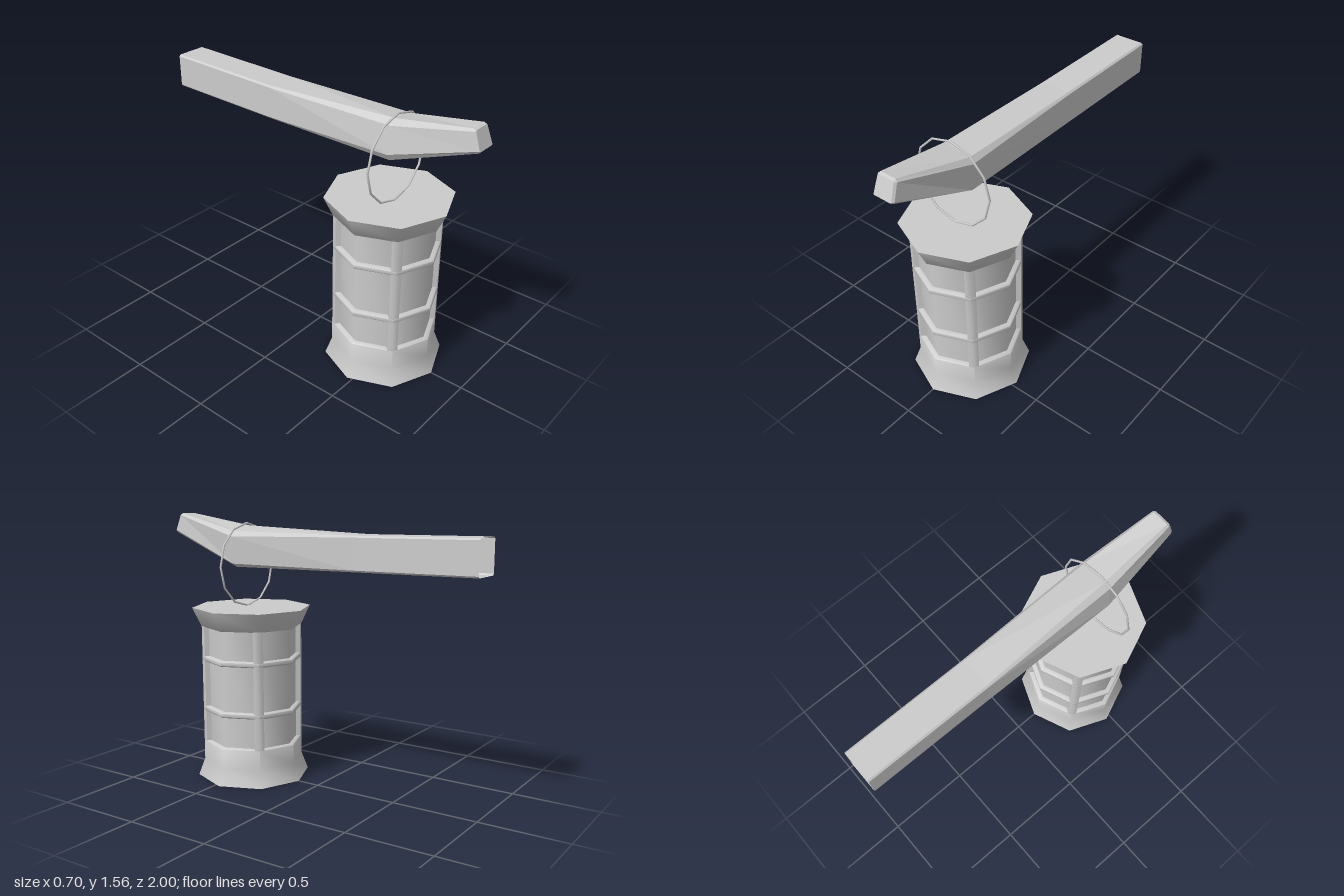
import * as THREE from 'three';
import { toCreasedNormals } from 'three/addons/utils/BufferGeometryUtils.js';

const LANTERN_Z = 0.47;

export function createModel() {
  const model = new THREE.Group();
  const smooth = new THREE.MeshStandardMaterial({ color: 0xcccccc });
  const flat = new THREE.MeshStandardMaterial({ color: 0xcccccc, flatShading: true, side: THREE.DoubleSide });

  const add = (parent, name, geometry, material = smooth) => {
    const mesh = new THREE.Mesh(geometry, material);
    mesh.name = name;
    parent.add(mesh);
    return mesh;
  };

  // Eight-sided turned part, smooth around the corners, sharp at the rims
  const octagon = (points) => toCreasedNormals(
    new THREE.LatheGeometry(points.map(([r, y]) => new THREE.Vector2(r, y)), 8), 0.87);

  const lantern = new THREE.Group();
  lantern.name = 'lantern';
  lantern.position.z = LANTERN_Z;
  model.add(lantern);

  add(lantern, 'base', octagon([[0, 0], [0.335, 0], [0.297, 0.1], [0.297, 0.215], [0.292, 0.22], [0.25, 0.22]]));
  add(lantern, 'glass', octagon([[0.268, 0.21], [0.268, 0.92]]));
  add(lantern, 'cap', octagon([[0.25, 0.908], [0.292, 0.908], [0.299, 0.913], [0.35, 1.02], [0, 1.02]]));

  // Horizontal rails
  for (const y of [0.418, 0.72]) {
    add(lantern, 'rail', octagon([
      [0.26, y - 0.016], [0.29, y - 0.016], [0.297, y - 0.01],
      [0.297, y + 0.01], [0.29, y + 0.016], [0.26, y + 0.016]]));
  }

  // Posts wrapped around the four diagonal corners
  const postShape = new THREE.Shape([
    [0.25, -0.0277], [0.2855, -0.0277], [0.297, 0], [0.2855, 0.0277], [0.25, 0.0277],
  ].map(([x, y]) => new THREE.Vector2(x, y)));
  const postGeometry = new THREE.ExtrudeGeometry(postShape, { depth: 0.7, bevelEnabled: false });
  postGeometry.rotateX(-Math.PI / 2).translate(0, 0.215, 0);
  const postSmooth = toCreasedNormals(postGeometry, 0.87);
  for (let i = 0; i < 4; i++) {
    add(lantern, 'post', postSmooth).rotation.y = Math.PI / 4 + i * Math.PI / 2;
  }

  // Wire ring hung over the arm
  add(model, 'hangingRing', new THREE.TorusGeometry(0.243, 0.006, 6, 12))
    .position.set(-0.027, 1.263, 0.52);

  add(model, 'arm', armGeometry(), flat);
  return model;
}

// Bevelled four-sided section: top and bottom half widths, heights and depths
function boxSection(wBottom, wTop, y0, y1, z0, z1, bevel) {
  const b = bevel;
  return [
    [-wBottom, y0 + b], [-wBottom + b, y0], [wBottom - b, y0], [wBottom, y0 + b],
    [wTop, y1 - b], [wTop - b, y1], [-wTop + b, y1], [-wTop, y1 - b],
  ].map(([x, y]) => [x, y, THREE.MathUtils.lerp(z0, z1, (y - y0) / (y1 - y0))]);
}

// Hollow beam, open at the back, twisted slightly at the elbow, with a raised tip
function armGeometry() {
  const elbow = [
    [-0.115, 1.31], [-0.09, 1.272], [0.07, 1.256], [0.105, 1.277],
    [0.118, 1.435], [0.095, 1.465], [-0.06, 1.49], [-0.095, 1.46],
  ].map(([x, y]) => [x, y, 0.52]);
  const rings = [
    boxSection(0.094, 0.094, 1.28, 1.474, -1, -1, 0.009),
    boxSection(0.096, 0.096, 1.27, 1.463, -0.28, -0.28, 0.01),
    elbow,
    boxSection(0.066, 0.06, 1.442, 1.556, 0.99, 0.95, 0.012),
    boxSection(0.057, 0.051, 1.45, 1.55, 1, 0.965, 0.004),
  ];
  const n = 8;
  const index = [];
  for (let r = 0; r < rings.length - 1; r++) {
    for (let j = 0; j < n; j++) {
      const a = r * n + j, b = r * n + (j + 1) % n;
      index.push(a, b, b + n, a, b + n, a + n);
    }
  }
  // Tip face
  const last = (rings.length - 1) * n;
  for (let j = 1; j < n - 1; j++) index.push(last, last + j, last + j + 1);

  const geometry = new THREE.BufferGeometry();
  geometry.setAttribute('position', new THREE.Float32BufferAttribute(rings.flat(2), 3));
  geometry.setIndex(index);
  geometry.computeVertexNormals();
  return geometry;
}
